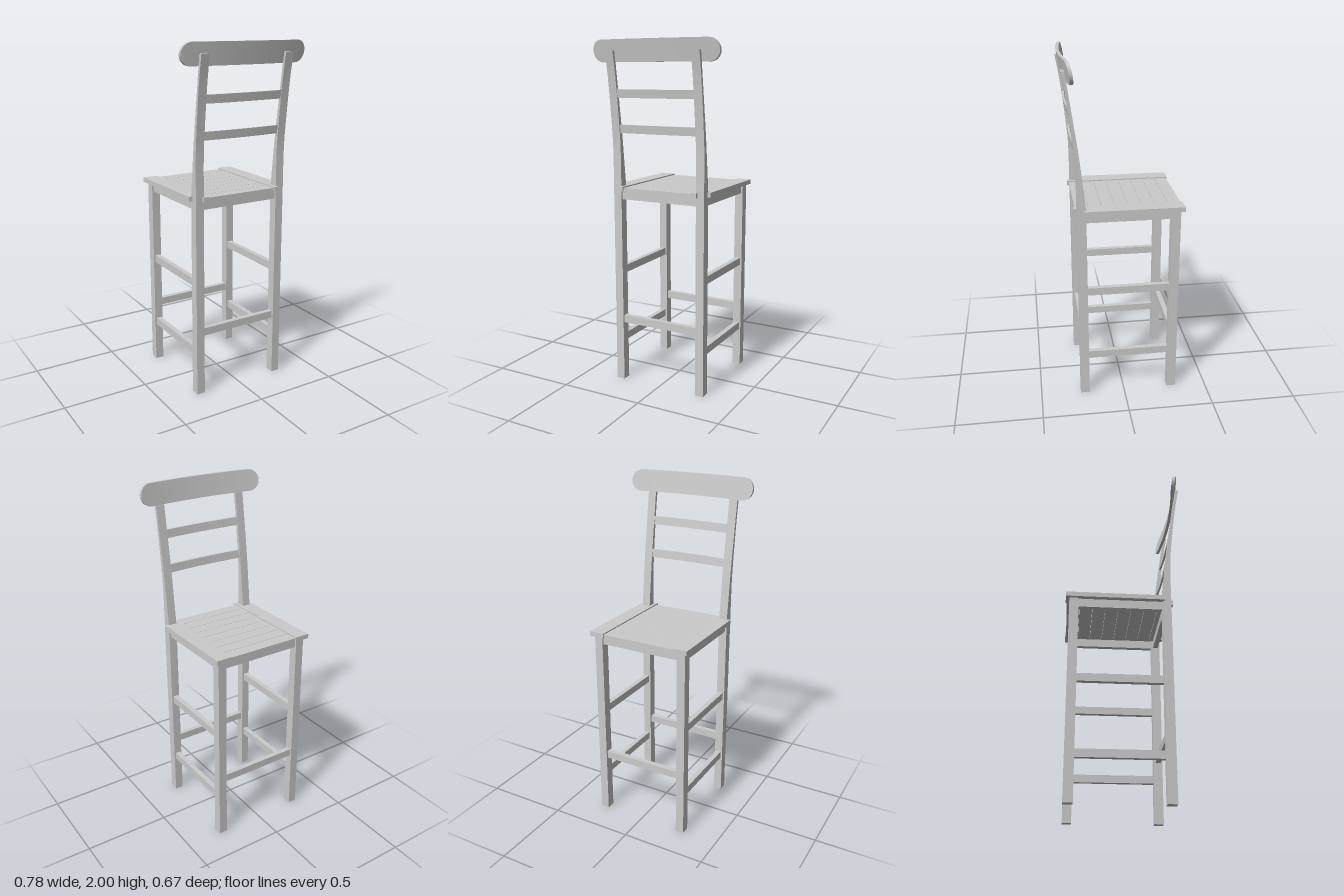
import * as THREE from 'three';
import { toCreasedNormals } from 'three/addons/utils/BufferGeometryUtils.js';

export function createModel() {
  const model = new THREE.Group();
  model.name = 'barChair';
  const material = new THREE.MeshStandardMaterial({ color: 0xcccccc });

  const add = (name, geometry) => {
    const mesh = new THREE.Mesh(geometry, material);
    mesh.name = name;
    model.add(mesh);
  };
  // Box given by its limits on each axis
  const box = (name, x0, x1, y0, y1, z0, z1) => {
    const g = new THREE.BoxGeometry(x1 - x0, y1 - y0, z1 - z0);
    g.translate((x0 + x1) / 2, (y0 + y1) / 2, (z0 + z1) / 2);
    add(name, g);
  };
  // Board bowed towards the back, leaning with the posts; rounded gives semicircular ends
  const bowedBoard = (name, halfWidth, height, depth, y, z, bow, lean, rounded) => {
    const g = new THREE.BoxGeometry(2, height, depth, 48, 1, 1);
    const p = g.attributes.position;
    const r = height / 2;
    for (let i = 0; i < p.count; i++) {
      const u = p.getX(i);
      const x = halfWidth * (rounded ? Math.sin(u * Math.PI / 2) : u);
      const over = Math.max(0, Math.abs(x) - (halfWidth - r));
      const scale = rounded ? Math.sqrt(Math.max(0.002, 1 - (over / r) ** 2)) : 1;
      const dy = p.getY(i) * scale;
      p.setXYZ(i, x, y + dy, z + p.getZ(i) + dy * lean - bow * (x / halfWidth) ** 2);
    }
    add(name, toCreasedNormals(g, 0.6));
  };

  // Rear legs run on up as curved, tapering back posts: profile in z and y
  const v = (z, y) => new THREE.Vector2(z, y);
  const backEdge = new THREE.SplineCurve([v(0.263, 1.18), v(0.264, 1.4), v(0.278, 1.57), v(0.304, 1.79), v(0.33, 1.94)]);
  const frontEdge = new THREE.SplineCurve([v(0.31, 1.94), v(0.288, 1.79), v(0.247, 1.5), v(0.228, 1.33), v(0.212, 1.18)]);
  const profile = new THREE.Shape([
    v(0.21, 0), v(0.263, 0), ...backEdge.getPoints(16), ...frontEdge.getPoints(16),
  ]);

  for (const s of [-1, 1]) {
    const side = s > 0 ? 'left' : 'right';
    const span = (name, a, b, ...rest) => box(name, Math.min(s * a, s * b), Math.max(s * a, s * b), ...rest);

    const post = new THREE.ExtrudeGeometry(profile, { depth: 0.05, bevelEnabled: false });
    post.translate(0, 0, -0.025).rotateY(-Math.PI / 2).translate(s * 0.265, 0, 0);
    add(side + 'RearLegAndPost', toCreasedNormals(post, 0.5));

    span(side + 'FrontLeg', 0.24, 0.29, 0, 1.155, -0.318, -0.265);
    span(side + 'SideApron', 0.25, 0.28, 1.105, 1.155, -0.265, 0.21);
    for (const y of [0.235, 0.655]) {
      span(side + 'SideStretcher', 0.25, 0.28, y, y + 0.045, -0.265, 0.21);
    }
    // Seat side board, with a tail running back past the post
    span(side + 'SeatSideBoard', 0.22, 0.31, 1.155, 1.182, -0.338, 0.224);
    span(side + 'SeatBoardTail', 0.22, 0.25, 1.155, 1.182, 0.224, 0.28);
  }

  // Cross rails between the front legs and between the rear legs
  for (const [end, z] of [['front', -0.292], ['rear', 0.237]]) {
    box(end + 'Apron', -0.24, 0.24, 1.105, 1.155, z - 0.015, z + 0.015);
    box(end + 'Stretcher', -0.24, 0.24, 0.357, 0.402, z - 0.015, z + 0.015);
  }

  // Seat slats
  const pitch = 0.0755;
  for (let i = 0; i < 8; i++) {
    const z = -0.333 + i * pitch;
    box('seatSlat', -0.22, 0.22, 1.155, 1.175, z + 0.001, z + pitch - 0.001);
  }

  // Back slats and top rail
  bowedBoard('lowerBackSlat', 0.242, 0.047, 0.012, 1.511, 0.267, 0.009, 0.12, false);
  bowedBoard('upperBackSlat', 0.242, 0.047, 0.012, 1.708, 0.293, 0.009, 0.14, false);
  bowedBoard('topRail', 0.39, 0.122, 0.018, 1.939, 0.315, 0.03, 0.17, true);

  return model;
}
